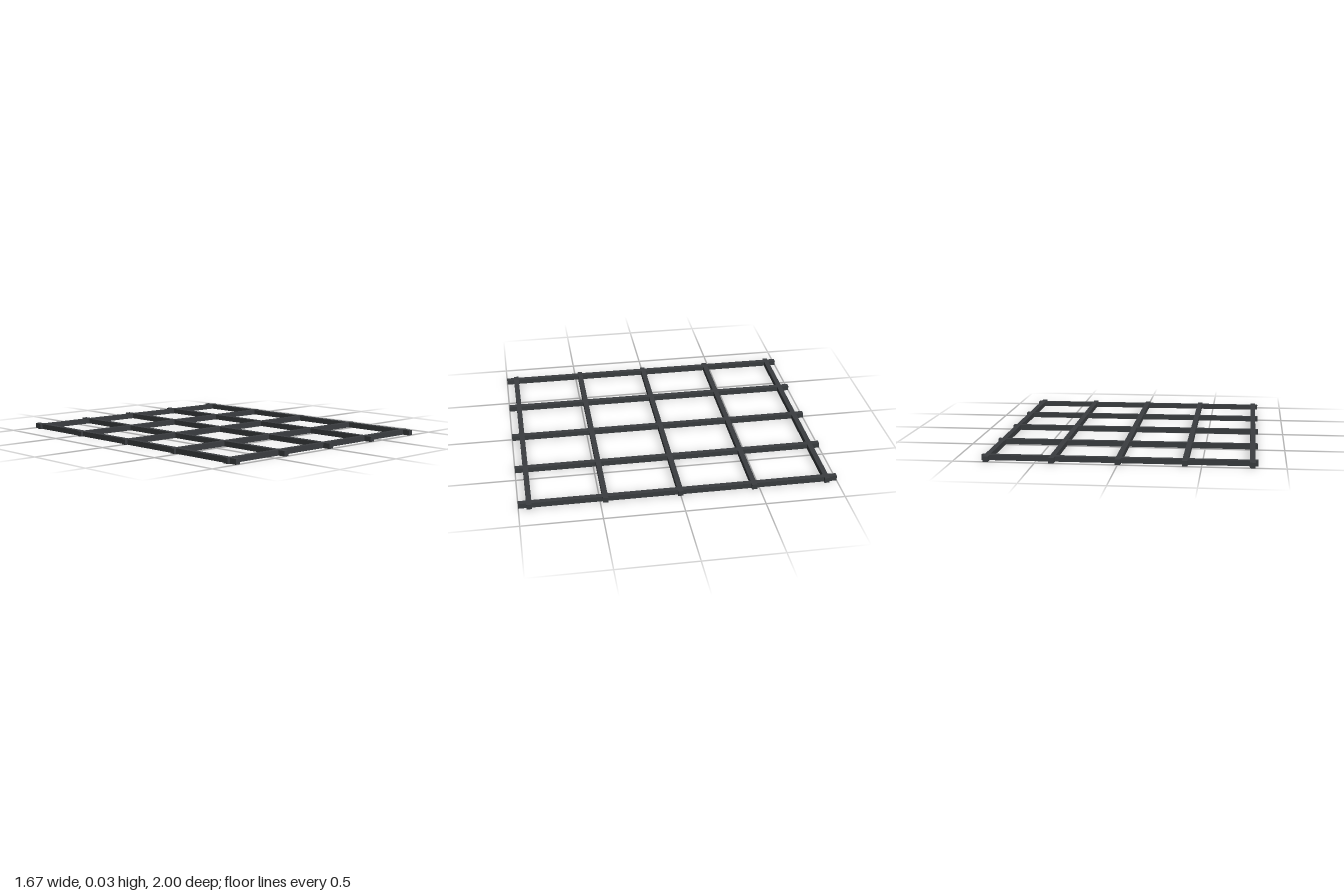
import * as THREE from 'three';

// Flat grate of square bars crossing in one plane
export function createModel() {
  const group = new THREE.Group();
  group.name = 'grate';
  const material = new THREE.MeshStandardMaterial({ color: 0x3a3d40 });
  const t = 0.0333; // bar thickness
  const lengthwise = new THREE.BoxGeometry(t, t, 2);
  const crosswise = new THREE.BoxGeometry(1.667, t, t);

  const addBar = (name, geometry, x, z) => {
    const bar = new THREE.Mesh(geometry, material);
    bar.name = name;
    bar.position.set(x, t / 2, z);
    group.add(bar);
  };

  // Five bars each way
  for (let i = -2; i <= 2; i++) {
    addBar(`lengthwiseBar${i + 3}`, lengthwise, i * 0.4, 0);
    addBar(`crossBar${i + 3}`, crosswise, 0, i * 0.4667);
  }
  return group;
}
